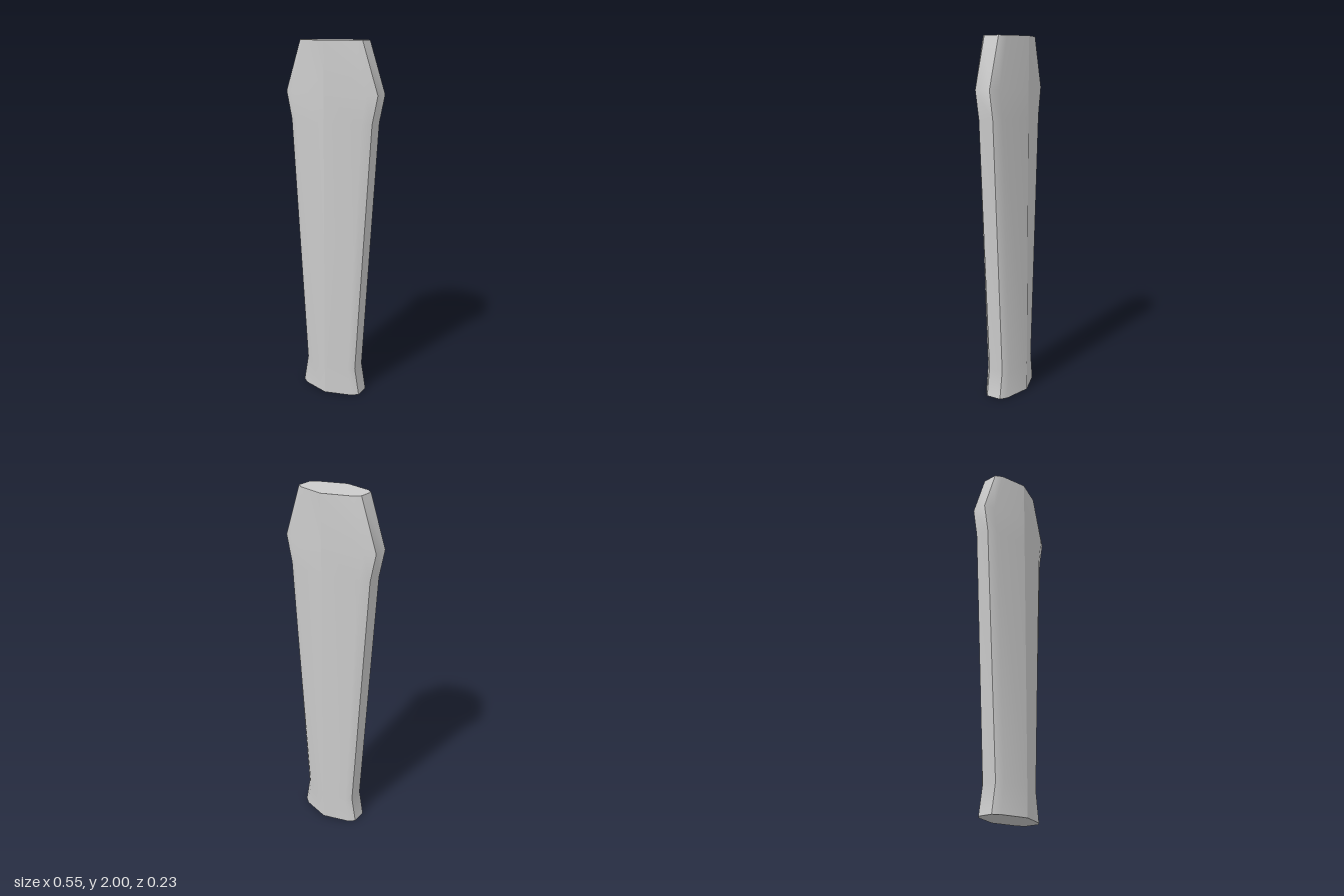
import * as THREE from 'three';

// Half-width of the handle at each height: [y, halfWidth]
const profile = [[0, 0.186], [0.16, 0.159], [1.58, 0.246], [1.73, 0.277], [2, 0.186]];

// Cross-section ring, [fraction of half-width, z], from the front ridge round through +x
const quarter = [[0, 0.115], [0.81, 0.071], [1, 0.042]];
const half = [...quarter, ...quarter.map(([x, z]) => [x, -z]).reverse()];
const ring = [...half, ...half.slice(1, -1).map(([x, z]) => [-x, z]).reverse()];

function makeGeometry(positions, index) {
  const geometry = new THREE.BufferGeometry();
  geometry.setAttribute('position', new THREE.Float32BufferAttribute(positions, 3));
  geometry.setIndex(index);
  geometry.computeVertexNormals();
  return geometry;
}

// Smooth panel through a run of ring points, following the profile upwards
function panel(start, count) {
  const positions = [], index = [];
  for (const [y, w] of profile)
    for (let i = 0; i < count; i++) {
      const [x, z] = ring[(start + i) % ring.length];
      positions.push(x * w, y, z);
    }
  for (let j = 0; j < profile.length - 1; j++)
    for (let i = 0; i < count - 1; i++) {
      const a = j * count + i, b = a + count;
      index.push(a, a + 1, b, a + 1, b + 1, b);
    }
  return makeGeometry(positions, index);
}

// Flat end cap as a fan
function cap([y, w], up) {
  const positions = ring.flatMap(([x, z]) => [x * w, y, z]);
  const index = [];
  for (let i = 1; i < ring.length - 1; i++) index.push(0, up ? i : i + 1, up ? i + 1 : i);
  return makeGeometry(positions, index);
}

export function createModel() {
  const group = new THREE.Group();
  group.name = 'handle';
  const material = new THREE.MeshStandardMaterial({ color: 0xcccccc });
  const add = (name, geometry) => {
    const mesh = new THREE.Mesh(geometry, material);
    mesh.name = name;
    group.add(mesh);
  };

  // Broad faces with softened chamfers, split at the central ridges
  add('frontLeftFace', panel(0, 3));
  add('backLeftFace', panel(3, 3));
  add('backRightFace', panel(5, 3));
  add('frontRightFace', panel(8, 3));

  // Narrow side edges
  add('leftEdge', panel(2, 2));
  add('rightEdge', panel(7, 2));

  // End caps
  add('topCap', cap(profile[profile.length - 1], true));
  add('bottomCap', cap(profile[0], false));
  return group;
}
